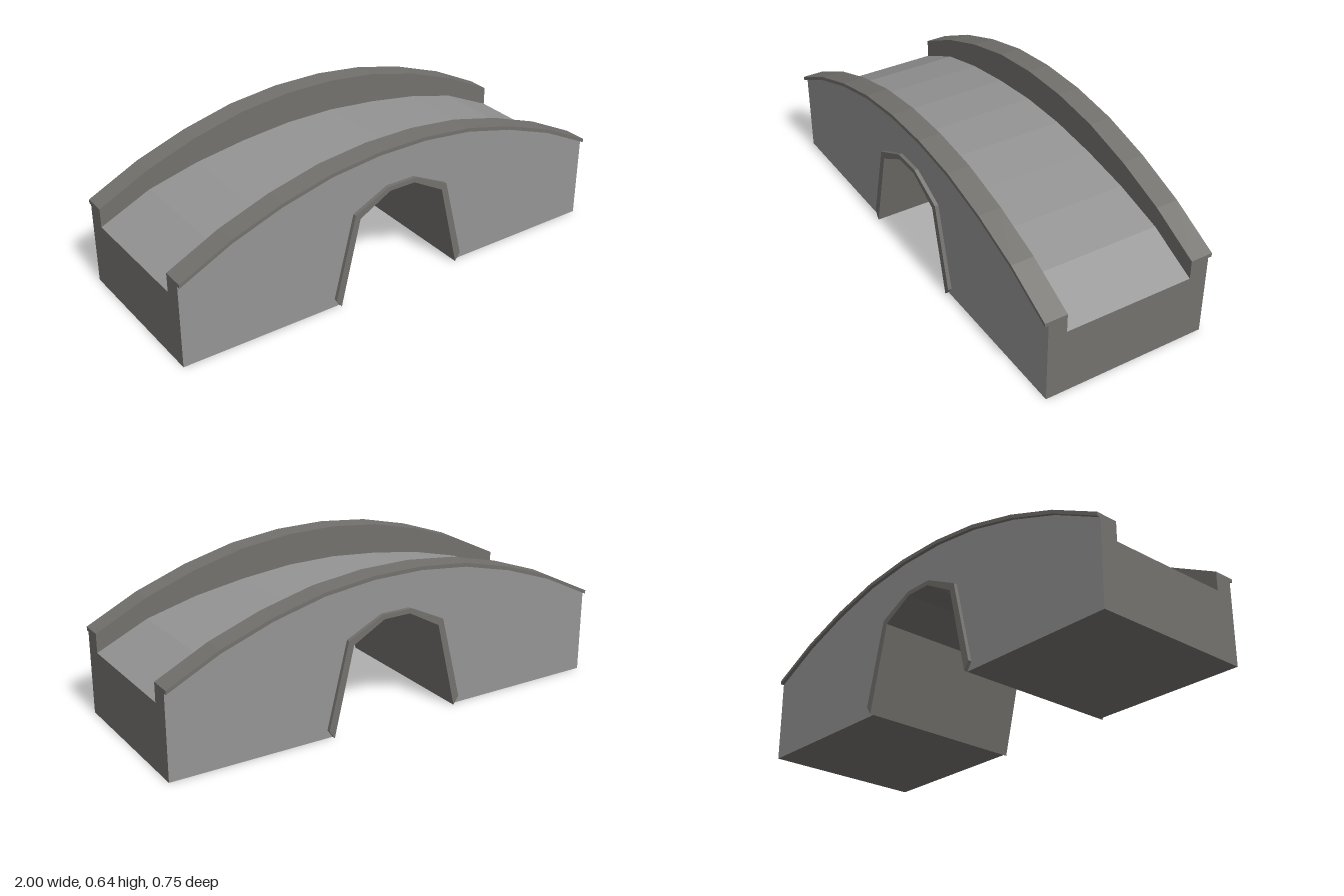
import * as THREE from 'three';

const lightStone = new THREE.MeshStandardMaterial({ color: 0x949494, flatShading: true });
const darkStone = new THREE.MeshStandardMaterial({ color: 0x73716d, flatShading: true });

// Right half of a profile (outer end to crown) completed by mirroring, running from -x to +x
const mirrored = half => [
  ...half.map(([x, y]) => [-x, y]),
  ...half.slice().reverse(),
];

// Closed outline extruded between two depths; an array of materials gives [faces, edges]
function slab(name, points, z0, z1, material) {
  const shape = new THREE.Shape(points.map(([x, y]) => new THREE.Vector2(x, y)));
  const geometry = new THREE.ExtrudeGeometry(shape, { depth: z1 - z0, bevelEnabled: false });
  geometry.translate(0, 0, z0);
  const mesh = new THREE.Mesh(geometry, material);
  mesh.name = name;
  return mesh;
}

// Band between a lower and an upper curve
const band = (lower, upper) => [...lower, ...upper.slice().reverse()];

export function createModel() {
  const bridge = new THREE.Group();
  bridge.name = 'bridge';

  const wallInner = 0.28, wallMiddle = 0.32, wallOuter = 0.361, trimFace = 0.377;

  const deck = mirrored([[1, 0.292], [0.778, 0.394], [0.556, 0.45], [0.333, 0.485], [0.111, 0.506]]);
  const top = mirrored([[1, 0.374], [0.778, 0.483], [0.556, 0.562], [0.333, 0.617], [0.111, 0.642]]);
  const archInner = mirrored([[0.293, 0], [0.203, 0.376], [0.06, 0.455]]);
  const archOuter = mirrored([[0.317, 0.035], [0.226, 0.398], [0.066, 0.475]]);
  const base = [[-1, 0], ...archInner, [1, 0]];
  const underRim = top.map(([x, y]) => [x, y - 0.016]);
  // Underside of the paving, meeting its surface at both ends
  const underDeck = deck.map(([x, y]) => [x, Math.abs(x) === 1 ? y : y - 0.02]);

  // Dark core with the tunnel, and light paving wedged to nothing at the ends
  bridge.add(slab('core', band(base, underDeck), -wallMiddle, wallMiddle, darkStone));
  bridge.add(slab('roadway', band(underDeck.slice(1, -1), deck), -wallInner, wallInner, lightStone));

  // Walls, parapet linings, coping rims and arch trims on both sides
  for (const [side, s] of [['front', 1], ['back', -1]]) {
    const add = (part, points, a, b, material) =>
      bridge.add(slab(side + part, points, Math.min(s * a, s * b), Math.max(s * a, s * b), material));
    add('Wall', band(base, underRim), wallMiddle, wallOuter, [lightStone, darkStone]);
    add('ParapetLining', band(underDeck, underRim), wallInner, wallMiddle, darkStone);
    add('Coping', band(underRim, top), wallInner, trimFace, darkStone);
    add('ArchTrim', band(archInner, archOuter), wallOuter, trimFace, darkStone);
  }
  return bridge;
}
